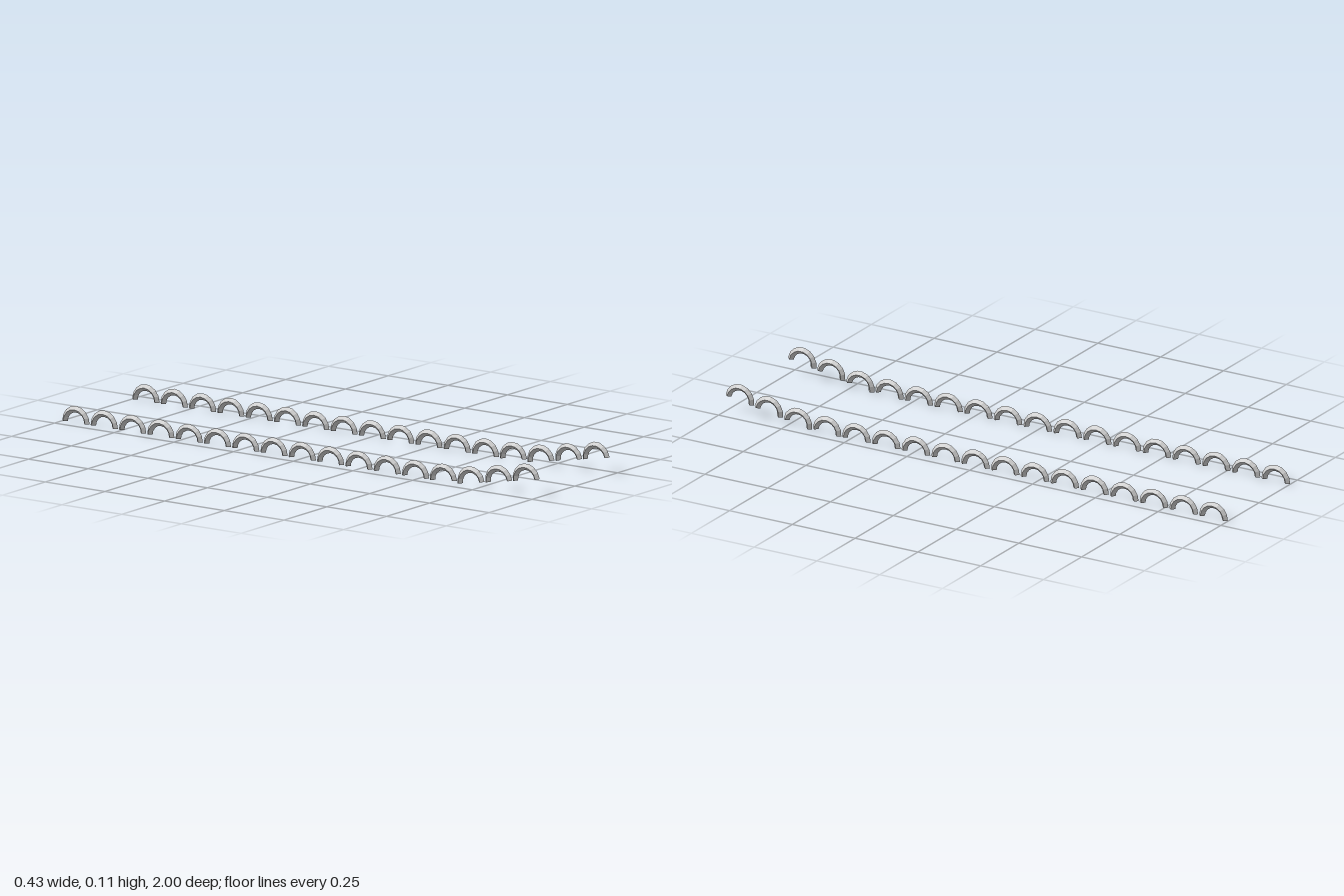
import * as THREE from 'three';
import { mergeGeometries } from 'three/addons/utils/BufferGeometryUtils.js';

const RING = 0.0457, BAR = 0.0115;

// Half ring with a diamond section and closed feet, standing in the YZ plane
function archGeometry() {
  const foot = (x) => new THREE.CircleGeometry(BAR, 4).rotateX(Math.PI / 2).translate(x, 0, 0);
  const ring = new THREE.TorusGeometry(RING, BAR, 4, 8, Math.PI);
  return mergeGeometries([ring, foot(RING), foot(-RING)]).rotateY(-Math.PI / 2);
}

export function createModel() {
  const model = new THREE.Group();
  const material = new THREE.MeshStandardMaterial({ color: 0xcccccc, flatShading: true });
  const arch = archGeometry();

  // The front arches climb: [z, y, tilt in degrees]
  const places = [
    [0.943, 0.052, 10],
    [0.828, 0.0315, 10],
    [0.712, 0.0115, 10],
    [0.596, 0.005, 5],
  ];
  // The rest lie level at an even spacing
  for (let i = 0; i < 13; i++) places.push([0.479 - i * 0.1185, 0.002, 0]);

  // Two mirrored rows
  for (const side of [1, -1]) {
    const row = new THREE.Group();
    row.name = side > 0 ? 'leftArchRow' : 'rightArchRow';
    row.position.x = side * 0.204;
    places.forEach(([z, y, tilt], i) => {
      const mesh = new THREE.Mesh(arch, material);
      mesh.name = `arch${i + 1}`;
      mesh.position.set(0, y, z);
      mesh.rotation.x = -THREE.MathUtils.degToRad(tilt);
      row.add(mesh);
    });
    model.add(row);
  }
  return model;
}
